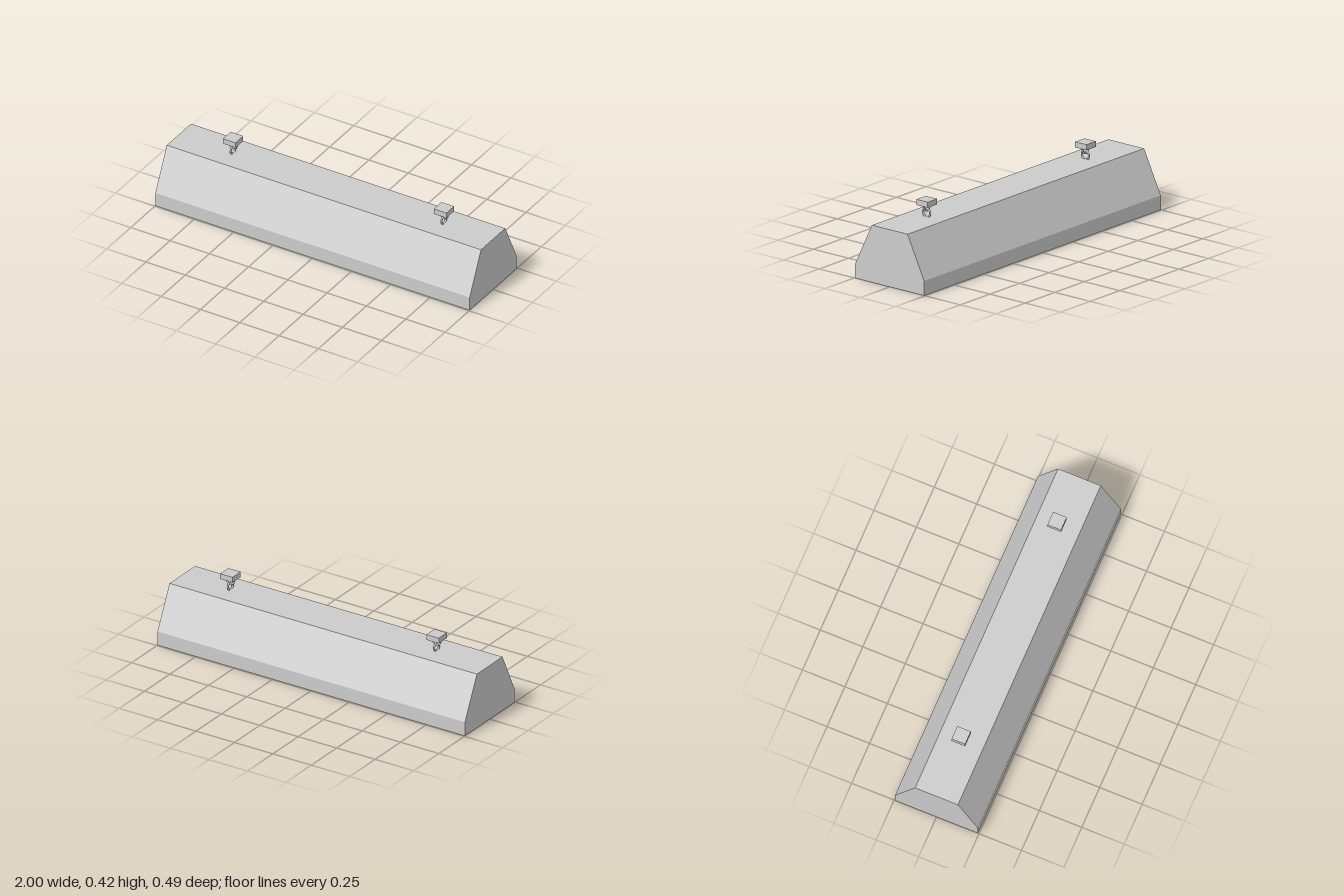
import * as THREE from 'three';

const grey = new THREE.MeshStandardMaterial({ color: 0xcccccc });

function part(name, geometry, x = 0, y = 0, z = 0) {
  const mesh = new THREE.Mesh(geometry, grey);
  mesh.name = name;
  mesh.position.set(x, y, z);
  return mesh;
}

// Hanger: ring on the housing, linked to a crosswise ring set in a ceiling plate
function hanger(name, x) {
  const group = new THREE.Group();
  group.name = name;
  group.position.x = x;
  const ring = new THREE.TorusGeometry(0.025, 0.0055, 12, 32);
  const lower = part('housingRing', ring, 0, 0.347);
  lower.rotation.y = Math.PI / 2;
  const upper = part('plateRing', ring, 0, 0.383);
  const plate = part('ceilingPlate', new THREE.BoxGeometry(0.08, 0.032, 0.08), 0, 0.408);
  group.add(lower, upper, plate);
  return group;
}

export function createModel() {
  const model = new THREE.Group();
  model.name = 'hangingLight';

  // Housing: straight skirt, sloped sides and flat top, extruded along x
  const profile = new THREE.Shape([
    [-0.244, 0], [0.244, 0], [0.244, 0.083],
    [0.126, 0.326], [-0.126, 0.326], [-0.244, 0.083],
  ].map(([z, y]) => new THREE.Vector2(z, y)));
  const housing = new THREE.ExtrudeGeometry(profile, { depth: 2, bevelEnabled: false });
  housing.translate(0, 0, -1).rotateY(Math.PI / 2);
  model.add(part('housing', housing));

  model.add(hanger('leftHanger', 0.687), hanger('rightHanger', -0.655));
  return model;
}
